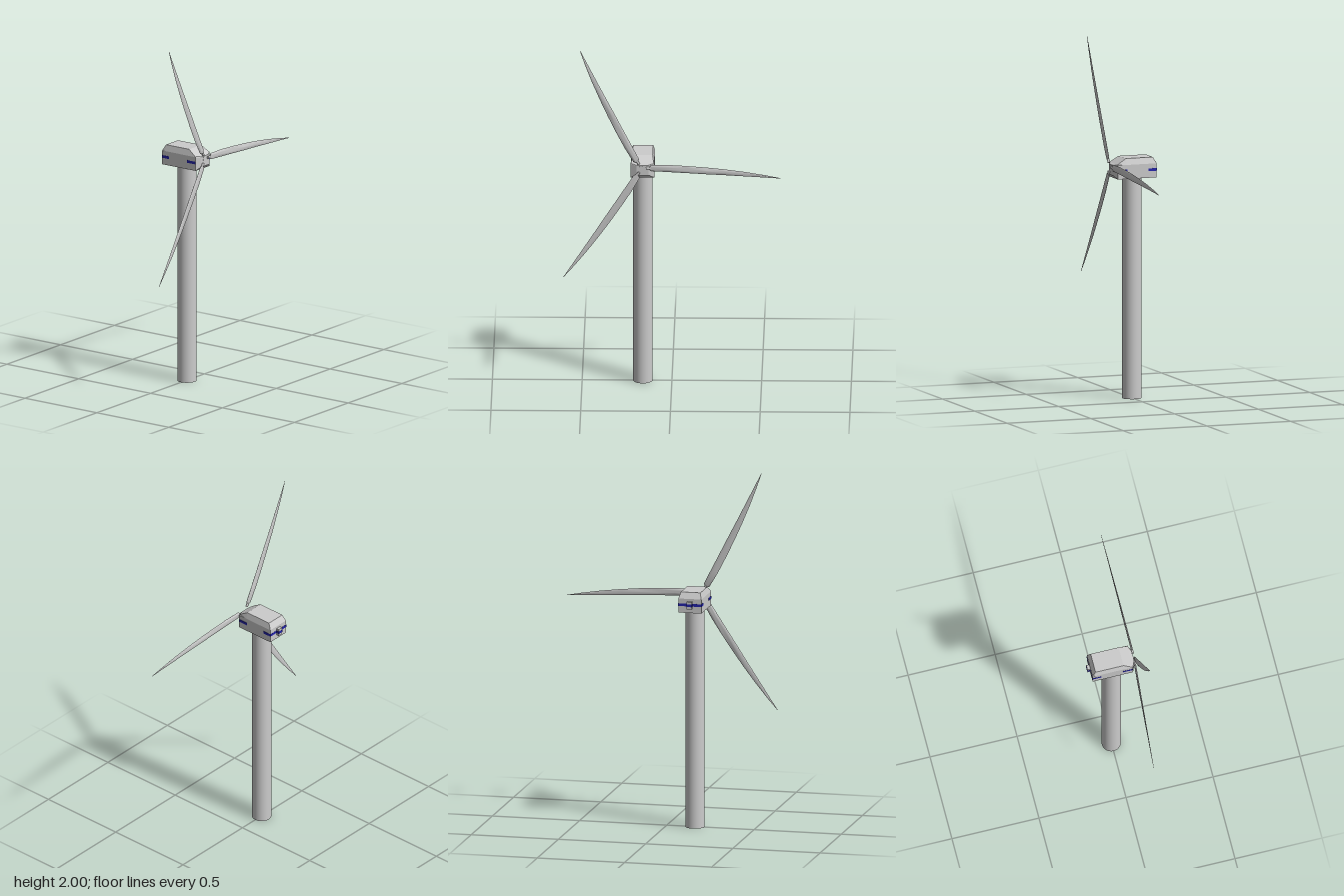
import * as THREE from 'three';
import { toCreasedNormals } from 'three/addons/utils/BufferGeometryUtils.js';

const GREY = new THREE.MeshStandardMaterial({ color: 0xcccccc });
const BLUE = new THREE.MeshStandardMaterial({ color: 0x2222aa });
const ZC = 0.162; // tower and nacelle centre line

// Skins rings of [x, y, z] points, each counter-clockwise seen from the far end, and caps both ends
function loft(rings, crease) {
  const pos = [];
  const n = rings[0].length;
  const tri = (a, b, c) => pos.push(...a, ...b, ...c);
  for (let i = 0; i < rings.length - 1; i++) {
    for (let j = 0; j < n; j++) {
      const k = (j + 1) % n;
      tri(rings[i][j], rings[i][k], rings[i + 1][k]);
      tri(rings[i][j], rings[i + 1][k], rings[i + 1][j]);
    }
  }
  const first = rings[0], last = rings[rings.length - 1];
  for (let j = 1; j < n - 1; j++) {
    tri(first[0], first[j + 1], first[j]);
    tri(last[0], last[j], last[j + 1]);
  }
  const g = new THREE.BufferGeometry();
  g.setAttribute('position', new THREE.Float32BufferAttribute(pos, 3));
  return toCreasedNormals(g, crease);
}

function add(parent, name, geometry, material, x = 0, y = 0, z = 0) {
  const m = new THREE.Mesh(geometry, material);
  m.name = name;
  m.position.set(x, y, z);
  parent.add(m);
  return m;
}

function nacelleGeometry() {
  // x, half width, bottom, shoulder, roof half width, roof height
  const sections = [
    [-0.123, 0.066, 1.244, 1.323, 0.064, 1.324],
    [-0.104, 0.066, 1.244, 1.323, 0.056, 1.358],
    [0.057, 0.066, 1.244, 1.323, 0.056, 1.358],
    [0.109, 0.066, 1.244, 1.323, 0.062, 1.326],
    [0.124, 0.034, 1.262, 1.318, 0.030, 1.320],
  ];
  return loft(sections.map(([x, w, bottom, shoulder, rw, roof]) => [
    [x, roof, -rw], [x, roof, rw], [x, shoulder, w],
    [x, bottom, w], [x, bottom, -w], [x, shoulder, -w],
  ]), 0.05);
}

function bladeGeometry() {
  // distance from hub, trailing edge, leading edge, thickness
  const stations = [
    [0.046, 0.010, -0.008, 0.009],
    [0.055, 0.020, -0.016, 0.011],
    [0.15, 0.021, -0.021, 0.010],
    [0.25, 0.016, -0.026, 0.009],
    [0.36, 0.008, -0.032, 0.007],
    [0.47, -0.003, -0.037, 0.006],
    [0.58, -0.017, -0.043, 0.004],
    [0.69, -0.035, -0.049, 0.003],
    [0.776, -0.052, -0.054, 0.0015],
  ];
  const N = 14;
  return loft(stations.map(([u, top, bottom, t]) =>
    Array.from({ length: N }, (_, j) => {
      const a = (j / N) * Math.PI * 2;
      const y = (top + bottom) / 2 + Math.cos(a) * (top - bottom) / 2;
      return [0.135 - t / 2 + Math.sin(a) * t / 2, y, -u];
    })), 0.9);
}

export function createModel() {
  const model = new THREE.Group();
  model.name = 'windTurbine';

  // Tower
  add(model, 'tower', new THREE.CylinderGeometry(0.054, 0.054, 1.25, 40), GREY, 0, 0.625, ZC);

  // Nacelle and rear vent box
  add(model, 'nacelle', nacelleGeometry(), GREY);
  model.getObjectByName('nacelle').position.z = ZC;
  add(model, 'rearVent', new THREE.BoxGeometry(0.018, 0.042, 0.028), GREY, -0.131, 1.289, ZC);

  // Blue band on both sides, across the back and over the vent
  const band = 0.015, bandY = 1.289;
  for (const s of [1, -1]) {
    add(model, 'rearSideStripe', new THREE.BoxGeometry(0.05, band, 0.002), BLUE, -0.099, bandY, ZC + s * 0.066);
    add(model, 'frontSideStripe', new THREE.BoxGeometry(0.058, band, 0.002), BLUE, 0.08, bandY, ZC + s * 0.066);
  }
  add(model, 'backStripe', new THREE.BoxGeometry(0.002, band, 0.134), BLUE, -0.123, bandY, ZC);
  add(model, 'ventStripe', new THREE.BoxGeometry(0.018, band, 0.030), BLUE, -0.132, bandY, ZC);

  // Rotor: hub plate with three blades on short round stubs
  const rotor = new THREE.Group();
  rotor.name = 'rotor';
  rotor.position.set(0, 1.305, 0.168);
  model.add(rotor);
  const plate = new THREE.CylinderGeometry(0.012, 0.012, 0.006, 24).rotateZ(Math.PI / 2);
  add(rotor, 'hubPlate', plate, GREY, 0.123, 0, 0);
  const bladeShape = bladeGeometry();
  const stubShape = new THREE.CylinderGeometry(0.007, 0.007, 0.024, 16).rotateX(Math.PI / 2);
  for (let k = 0; k < 3; k++) {
    const arm = new THREE.Group();
    arm.name = 'bladeArm';
    arm.rotation.x = (k * Math.PI * 2) / 3;
    add(arm, 'blade', bladeShape, GREY);
    add(arm, 'bladeStub', stubShape, GREY, 0.129, 0, -0.039);
    rotor.add(arm);
  }
  return model;
}
